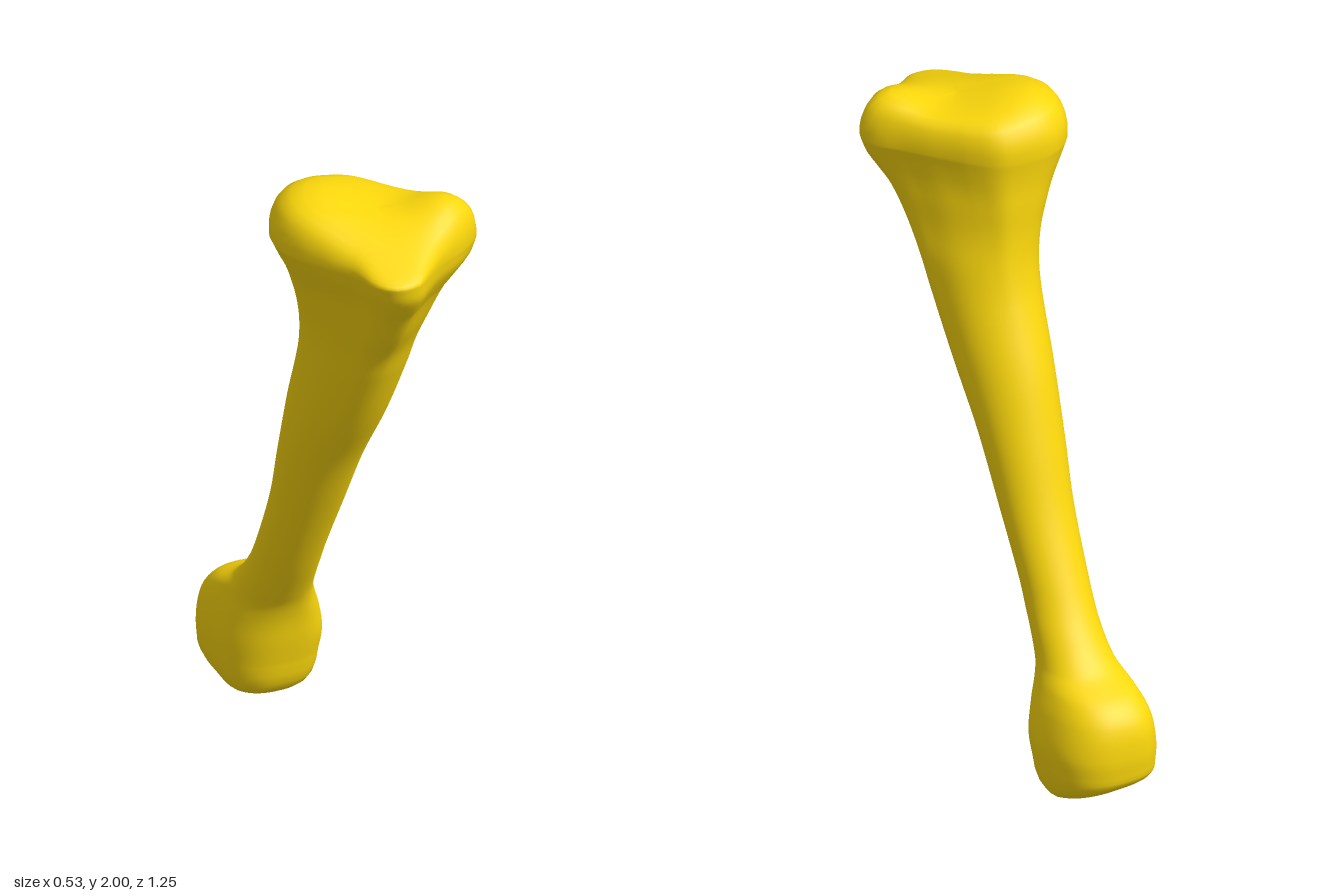
import * as THREE from 'three';

const SIDES = 72;
const STEPS = 5; // rings between two listed stations

// Stations up the bone: y, xMin, xMax, zMin, zMax, w
// (w > 0 blends to the three-cornered head, w < 0 to the boxy foot, 0 is an oval)
const STATIONS = [
  [0.12, -0.057, 0.245, -0.62, -0.298, -1],
  [0.2, -0.061, 0.25, -0.625, -0.28, -1],
  [0.29, -0.052, 0.228, -0.61, -0.264, -0.9],
  [0.35, -0.04, 0.203, -0.56, -0.246, -0.6],
  [0.4, -0.035, 0.178, -0.46, -0.22, -0.3],
  [0.5, -0.04, 0.16, -0.372, -0.16, 0],
  [0.6, -0.05, 0.149, -0.312, -0.105, 0],
  [0.8, -0.07, 0.147, -0.218, 0.002, 0],
  [1.0, -0.095, 0.15, -0.15, 0.11, 0],
  [1.2, -0.115, 0.155, -0.083, 0.24, 0.1],
  [1.4, -0.13, 0.16, 0, 0.35, 0.3],
  [1.5, -0.14, 0.165, 0.028, 0.402, 0.45],
  [1.6, -0.16, 0.172, 0.04, 0.475, 0.65],
  [1.7, -0.192, 0.197, 0.04, 0.54, 0.85],
  [1.75, -0.215, 0.22, 0.04, 0.58, 0.95],
  [1.8, -0.243, 0.246, 0.037, 0.612, 1],
  [1.85, -0.267, 0.265, 0.032, 0.622, 1],
];

// Outline of the head seen from above, as x, z
const HEAD = [
  [-0.27, 0.2], [-0.25, 0.12], [-0.2, 0.055], [-0.12, 0.025], [0, 0.04], [0.05, 0.065],
  [0.15, 0.21], [0.21, 0.31], [0.26, 0.39], [0.265, 0.44], [0.2, 0.49], [0.08, 0.54],
  [0, 0.59], [-0.05, 0.62], [-0.12, 0.61], [-0.16, 0.56], [-0.18, 0.46], [-0.22, 0.37], [-0.26, 0.27],
];

// Radius of the head outline at each side, in a unit square
function headRadii() {
  const curve = new THREE.CatmullRomCurve3(
    HEAD.map(([x, z]) => new THREE.Vector3(x / 0.267, 0, (z - 0.322) / 0.298)), true);
  const samples = curve.getPoints(1500);
  return Array.from({ length: SIDES }, (_, j) => {
    const a = (j / SIDES) * Math.PI * 2;
    const dx = Math.cos(a), dz = Math.sin(a);
    let best = -2, radius = 1;
    for (const p of samples) {
      const r = Math.hypot(p.x, p.z);
      const match = (p.x * dx + p.z * dz) / r;
      if (match > best) { best = match; radius = r; }
    }
    return radius;
  });
}

// Smooth interpolation between stations, with slopes taken over height
function stationAt(t) {
  const last = STATIONS.length - 1;
  const i = Math.min(Math.floor(t), last - 1), f = t - i;
  const at = (k) => STATIONS[Math.max(0, Math.min(last, k))];
  const [A, B, D, E] = [at(i - 1), at(i), at(i + 1), at(i + 2)];
  const h = D[0] - B[0];
  return B.map((b, c) => {
    const d = D[c];
    const m0 = (h * (d - A[c])) / (D[0] - A[0]);
    const m1 = (h * (E[c] - b)) / (E[0] - B[0]);
    return b + m0 * f + (3 * (d - b) - 2 * m0 - m1) * f * f + (2 * (b - d) + m0 + m1) * f ** 3;
  });
}

// One closed cross-section fitted exactly to its limits
function section([y, x0, x1, z0, z1, w], radii) {
  const boxy = Math.max(0, -w), corner = Math.max(0, w);
  const pts = radii.map((head, j) => {
    const a = (j / SIDES) * Math.PI * 2;
    const c = Math.cos(a), s = Math.sin(a);
    const box = (Math.abs(c) ** 2.6 + Math.abs(s) ** 2.6) ** (-1 / 2.6);
    const r = 1 + (head - 1) * corner + (box - 1) * boxy;
    return [c * r, (s + 0.14 * boxy * c) * r]; // the foot is skewed
  });
  const fit = (k, lo, hi) => {
    const v = pts.map((p) => p[k]);
    const min = Math.min(...v), max = Math.max(...v);
    return v.map((q) => lo + ((q - min) / (max - min)) * (hi - lo));
  };
  const xs = fit(0, x0, x1), zs = fit(1, z0, z1);
  return xs.map((x, j) => new THREE.Vector3(x, y, zs[j]));
}

// Rings shrinking towards the middle while rising to a height field
function capRings(ring, steps, height) {
  const middle = new THREE.Box3().setFromPoints(ring).getCenter(new THREE.Vector3());
  return steps.map(([scale, rise]) => ring.map((p) => {
    const q = middle.clone().lerp(p, scale);
    q.y = p.y + (height(q.x, q.z) - p.y) * rise;
    return q;
  }));
}

const bump = (x, z, cx, cz, r) => Math.exp(-((x - cx) ** 2 + (z - cz) ** 2) / (r * r));

// Upper joint surface: two raised corners, falling away to the front
const topHeight = (x, z) => 1.953
  + 0.047 * bump(x, z, -0.125, 0.17, 0.15)
  + 0.035 * bump(x, z, 0.17, 0.41, 0.09)
  - 0.085 * THREE.MathUtils.smoothstep(z - 0.5 * x, 0.36, 0.72);

// Lower joint surface: slopes up to the back
const bottomHeight = (x, z) => 0.42 * Math.max(0, -0.42 - z);

function loft(rings) {
  const position = [], index = [];
  rings.forEach((ring, i) => ring.forEach((p, j) => {
    position.push(p.x, p.y, p.z);
    if (i === rings.length - 1) return;
    const k = (j + 1) % SIDES;
    const a = i * SIDES + j, b = i * SIDES + k;
    index.push(a, a + SIDES, b, b, a + SIDES, b + SIDES);
  }));
  const geometry = new THREE.BufferGeometry();
  geometry.setAttribute('position', new THREE.Float32BufferAttribute(position, 3));
  geometry.setIndex(index);
  geometry.computeVertexNormals();
  return geometry;
}

export function createModel() {
  const radii = headRadii();
  const rings = [];
  const count = (STATIONS.length - 1) * STEPS;
  for (let i = 0; i <= count; i++) rings.push(section(stationAt(i / STEPS), radii));

  const foot = capRings(rings[0],
    [[0, 1], [0.2, 1], [0.4, 0.99], [0.55, 0.96], [0.7, 0.88], [0.82, 0.74], [0.91, 0.54], [0.97, 0.28]], bottomHeight);
  const head = capRings(rings[count],
    [[1, 0.25], [0.985, 0.47], [0.95, 0.69], [0.89, 0.86], [0.8, 0.95], [0.68, 0.99],
      [0.52, 1], [0.35, 1], [0.18, 1], [0, 1]], topHeight);

  const bone = new THREE.Mesh(
    loft([...foot, ...rings, ...head]),
    new THREE.MeshStandardMaterial({ color: 0xfcd80c }));
  bone.name = 'legBone';

  const group = new THREE.Group();
  group.name = 'bone';
  group.add(bone);
  return group;
}
